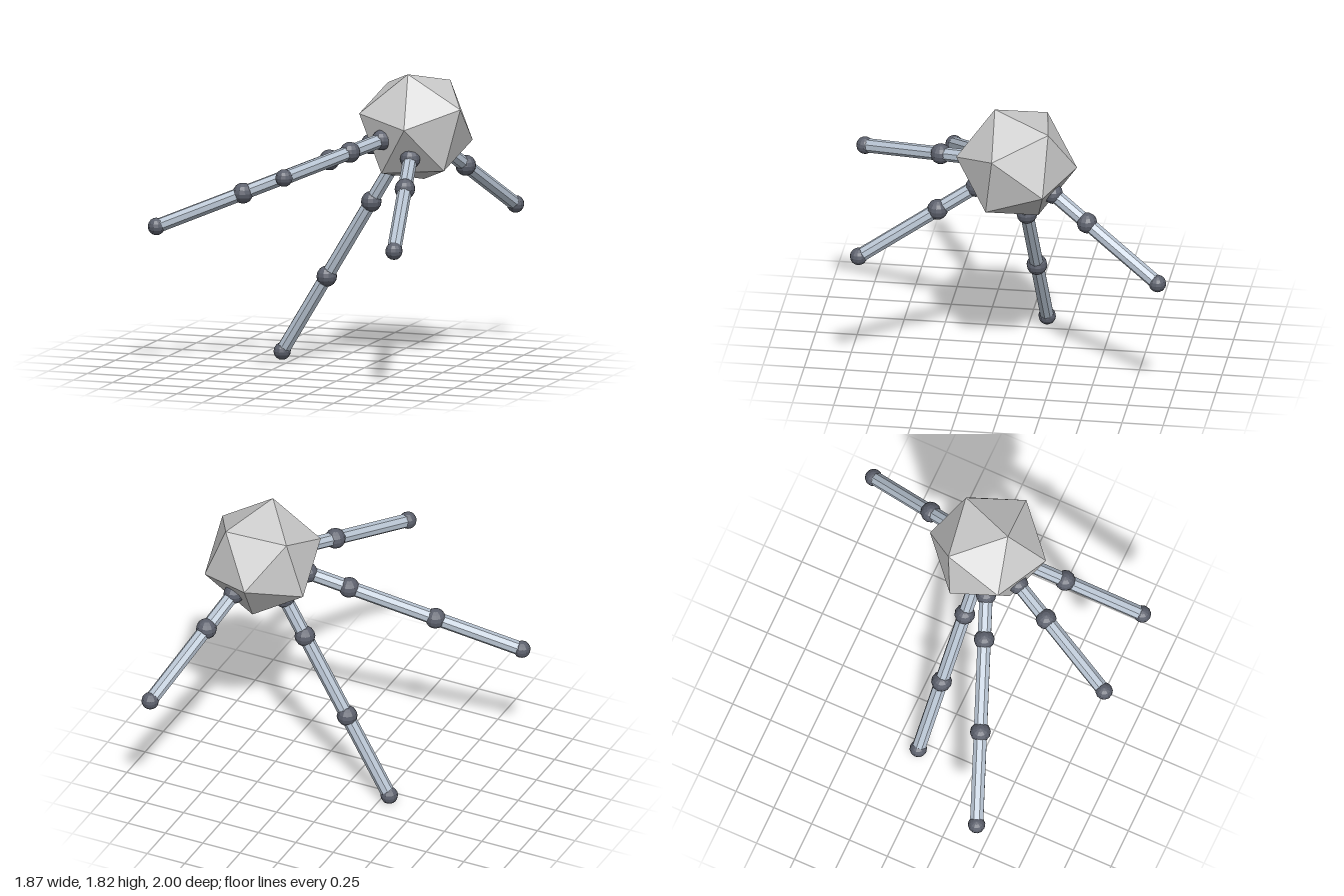
import * as THREE from 'three';

const CENTER = new THREE.Vector3(0.562, 1.482, -0.048);
const BODY_RADIUS = 0.365;
const LEG_START = 0.29; // distance from the body centre to its faces

const bodyMat = new THREE.MeshStandardMaterial({ color: 0xcccccc, flatShading: true });
const tubeMat = new THREE.MeshStandardMaterial({ color: 0xb8c4d2, flatShading: true });
const jointMat = new THREE.MeshStandardMaterial({ color: 0x5c606c, flatShading: true });

function ball(name, radius, position) {
  const mesh = new THREE.Mesh(new THREE.SphereGeometry(radius, 12, 8), jointMat);
  mesh.name = name;
  mesh.position.copy(position);
  return mesh;
}

function tube(from, to) {
  const dir = to.clone().sub(from);
  const mesh = new THREE.Mesh(new THREE.CylinderGeometry(0.043, 0.043, dir.length(), 8), tubeMat);
  mesh.name = 'legSegment';
  mesh.position.copy(from).add(to).multiplyScalar(0.5);
  mesh.quaternion.setFromUnitVectors(new THREE.Vector3(0, 1, 0), dir.normalize());
  return mesh;
}

// A straight leg radiating from the body centre, divided by ball joints
function leg(foot, segments) {
  const group = new THREE.Group();
  const end = new THREE.Vector3(...foot);
  let prev = CENTER.clone().lerp(end, LEG_START / CENTER.distanceTo(end));
  group.add(ball('hipJoint', 0.062, prev));
  for (let i = 1; i <= segments; i++) {
    const next = CENTER.clone().lerp(end, i / segments);
    group.add(tube(prev, next));
    group.add(i < segments ? ball('kneeJoint', 0.063, next) : ball('foot', 0.053, next));
    prev = next;
  }
  return group;
}

export function createModel() {
  const model = new THREE.Group();

  // Icosahedral body, turned so that one edge joins the two given corners
  const a = new THREE.Vector3(-0.004, 0.341, 0.132).normalize();
  const b = new THREE.Vector3(0.052, 0.035, 0.363).normalize();
  const y = a.clone().add(b).normalize();
  const x = a.clone().sub(b).normalize();
  const z = x.clone().cross(y);
  const body = new THREE.Mesh(new THREE.IcosahedronGeometry(BODY_RADIUS, 0), bodyMat);
  body.name = 'body';
  body.quaternion.setFromRotationMatrix(new THREE.Matrix4().makeBasis(x, y, z));
  body.position.copy(CENTER);
  model.add(body);

  // Legs: name, foot position, number of segments
  const legs = [
    ['longSideLeg', [-0.885, 0.885, 0.537], 3],
    ['longLowerLeg', [-0.313, 0.054, -0.109], 3],
    ['frontRightLeg', [0.073, 1.3, 0.942], 2],
    ['frontLeftLeg', [0.754, 0.884, 0.884], 2],
    ['backLeg', [0.877, 0.884, -0.948], 2],
  ];
  for (const [name, foot, segments] of legs) {
    const group = leg(foot, segments);
    group.name = name;
    model.add(group);
  }
  return model;
}
